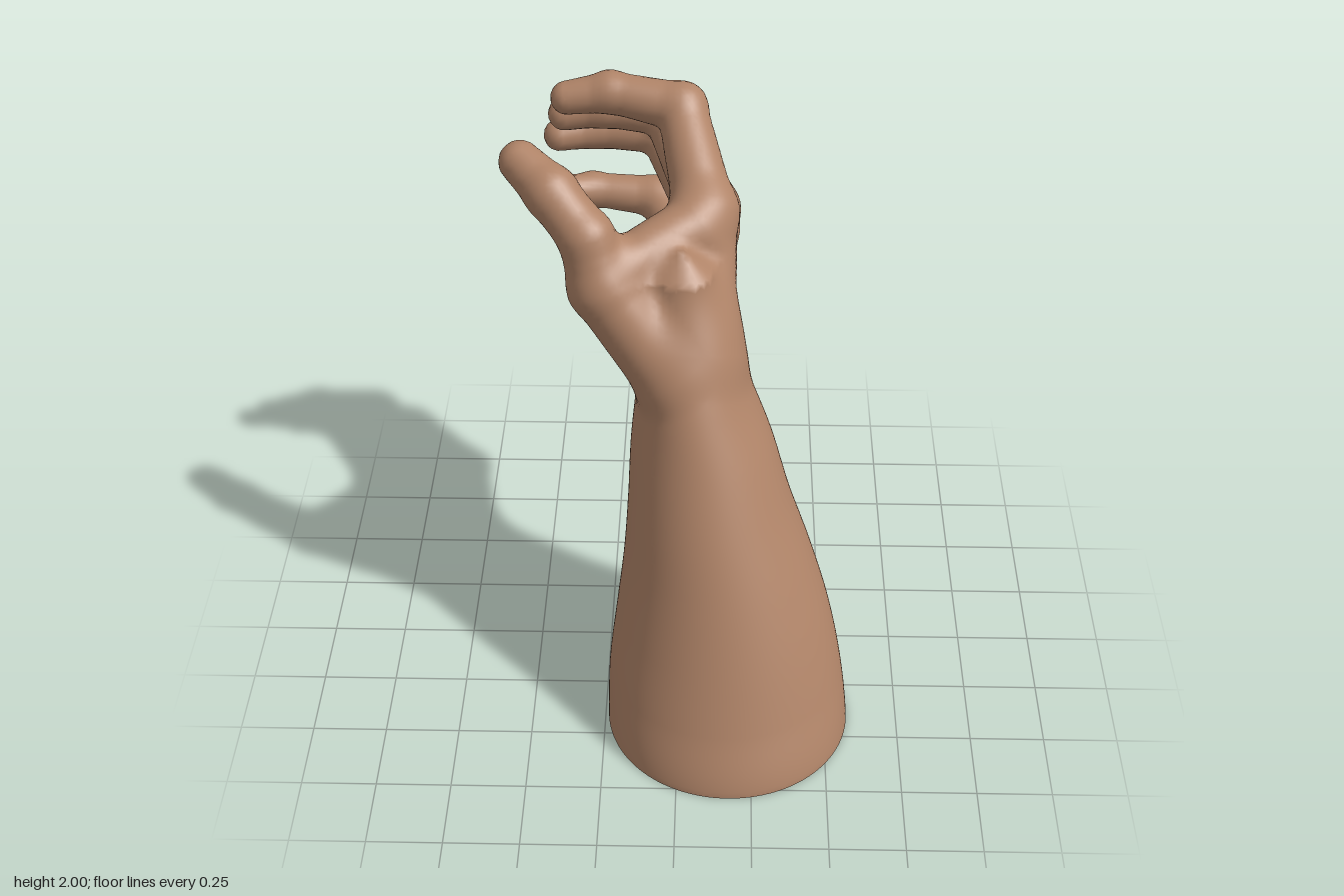
import * as THREE from 'three';

// Forearm widths every 0.2 in height: [xMin, xMax, zMin, zMax]
const ARM = [
  [-0.24, 0.58, -0.02, 0.79], [-0.235, 0.555, -0.055, 0.715], [-0.21, 0.51, -0.085, 0.64],
  [-0.185, 0.445, -0.105, 0.565], [-0.17, 0.37, -0.12, 0.49], [-0.16, 0.305, -0.15, 0.41],
  [-0.14, 0.225, -0.16, 0.33], [-0.13, 0.17, -0.1, 0.24], [-0.08, 0.1, 0, 0.16],
];

// Each part: blend = softness of its join, chains = joints as [x, y, z, radius]
const PARTS = [
  { name: 'palm', blend: 0.09, chains: [
    [[0.05, 1.3, 0.08, 0.13], [0.075, 1.68, -0.17, 0.1]],      // bones of the back of the hand
    [[0.05, 1.25, 0.0, 0.13], [0.085, 1.6, -0.32, 0.095]],
    [[0.04, 1.2, -0.06, 0.12], [0.09, 1.47, -0.42, 0.09]],
    [[0.02, 1.18, -0.12, 0.11], [0.06, 1.3, -0.46, 0.085]],
    [[-0.06, 1.2, -0.13, 0.13], [-0.09, 1.23, -0.33, 0.135]],  // heel
    [[-0.02, 1.55, -0.2, 0.09], [-0.03, 1.33, -0.37, 0.09]],   // pad below the fingers
    [[-0.15, 1.62, 0.04, 0.09], [0.03, 1.67, -0.09, 0.095]],   // web to the thumb
  ] },
  { name: 'thumb', blend: 0.06, chains: [
    [[-0.03, 1.28, 0.16, 0.12], [-0.24, 1.57, 0.1, 0.11], [-0.29, 1.73, 0.07, 0.085],
      [-0.4, 1.84, -0.01, 0.082], [-0.5, 1.895, -0.1, 0.068]],
  ] },
  { name: 'indexFinger', blend: 0.045, chains: [
    [[0.075, 1.68, -0.17, 0.1], [-0.005, 1.9, -0.45, 0.08], [-0.24, 1.93, -0.495, 0.066], [-0.38, 1.91, -0.49, 0.055]],
  ] },
  { name: 'middleFinger', blend: 0.045, chains: [
    [[0.085, 1.6, -0.32, 0.095], [-0.06, 1.8, -0.6, 0.079], [-0.27, 1.81, -0.615, 0.066], [-0.4, 1.79, -0.6, 0.055]],
  ] },
  { name: 'ringFinger', blend: 0.045, chains: [
    [[0.09, 1.47, -0.42, 0.09], [-0.08, 1.67, -0.705, 0.077], [-0.3, 1.67, -0.72, 0.065], [-0.425, 1.665, -0.68, 0.055]],
  ] },
  { name: 'littleFinger', blend: 0.045, chains: [
    [[0.06, 1.3, -0.46, 0.085], [-0.1, 1.415, -0.7, 0.07], [-0.32, 1.435, -0.71, 0.058], [-0.5, 1.475, -0.62, 0.048]],
  ] },
];

// Smooth minimum, melts two rounded forms together
function melt(a, b, k) {
  const h = Math.max(k - Math.abs(a - b), 0) / k;
  return Math.min(a, b) - h * h * k / 4;
}

// Distance to a tapered limb between two joints
function limb(x, y, z, a, b) {
  const dx = b[0] - a[0], dy = b[1] - a[1], dz = b[2] - a[2];
  const px = x - a[0], py = y - a[1], pz = z - a[2];
  const t = Math.min(1, Math.max(0, (px * dx + py * dy + pz * dz) / (dx * dx + dy * dy + dz * dz)));
  const qx = px - dx * t, qy = py - dy * t, qz = pz - dz * t;
  return Math.sqrt(qx * qx + qy * qy + qz * qz) - a[3] - (b[3] - a[3]) * t;
}

// Distance to the forearm, an oval whose widths run smoothly with height
function forearm(x, y, z) {
  const last = ARM.length - 1;
  const s = Math.min(last, Math.max(0, y / 0.2)), i = Math.min(last - 1, Math.floor(s)), t = s - i;
  const p0 = ARM[Math.max(0, i - 1)], p1 = ARM[i], p2 = ARM[i + 1], p3 = ARM[Math.min(last, i + 2)];
  const at = (c) => p1[c] + 0.5 * t * (p2[c] - p0[c] + t * (2 * p0[c] - 5 * p1[c] + 4 * p2[c] - p3[c]
    + t * (3 * (p1[c] - p2[c]) + p3[c] - p0[c])));
  const x0 = at(0), x1 = at(1), z0 = at(2), z1 = at(3);
  const rx = (x1 - x0) / 2, rz = (z1 - z0) / 2;
  const u = (x - (x0 + x1) / 2) / rx, v = (z - (z0 + z1) / 2) / rz;
  return (Math.sqrt(u * u + v * v) - 1) * Math.min(rx, rz) + Math.max(0, y - 1.6);
}

function partDistance(part, x, y, z) {
  let d = 9;
  for (const chain of part.chains) {
    const k = part.chains.length > 1 ? 0.06 : 0.025;
    for (let i = 0; i + 1 < chain.length; i++) d = melt(d, limb(x, y, z, chain[i], chain[i + 1]), k);
  }
  return d;
}

function field(x, y, z) {
  let d = forearm(x, y, z);
  if (y < 0.7) return d;
  for (const part of PARTS) d = melt(d, partDistance(part, x, y, z), part.blend);
  return d;
}

function gradient(x, y, z) {
  const e = 0.004;
  return new THREE.Vector3(
    field(x + e, y, z) - field(x - e, y, z),
    field(x, y + e, z) - field(x, y - e, z),
    field(x, y, z + e) - field(x, y, z - e)).divideScalar(2 * e);
}

// Index of the nearest part; 0 is the forearm
function nearestPart(x, y, z) {
  let best = 0, bestD = forearm(x, y, z);
  PARTS.forEach((part, i) => {
    const d = partDistance(part, x, y, z);
    if (d < bestD) { bestD = d; best = i + 1; }
  });
  return best;
}

// Skin over the melted forms: one vertex per crossed cell, one quad per crossed edge
function buildSkin() {
  const h = 0.02, n = [62, 104, 84], o = [-0.62, -h / 2, -0.84];
  const step = [1, n[0], n[0] * n[1]], total = n[0] * n[1] * n[2];
  const value = new Float32Array(total), vertexOf = new Int32Array(total).fill(-1);
  const eachPoint = (fn) => {
    for (let k = 0; k < n[2]; k++) for (let j = 0; j < n[1]; j++) for (let i = 0; i < n[0]; i++)
      fn([i, j, k], i + j * step[1] + k * step[2]);
  };
  eachPoint((c, id) => { value[id] = field(o[0] + c[0] * h, o[1] + c[1] * h, o[2] + c[2] * h); });

  const positions = [], normals = [], owner = [];
  eachPoint((c, id) => {
    if (c.some((v, a) => v >= n[a] - 1)) return;
    const sum = [0, 0, 0];
    let hits = 0;
    for (let q = 0; q < 8; q++) for (let a = 0; a < 3; a++) {
      if (q >> a & 1) continue;
      const off = [q & 1, q >> 1 & 1, q >> 2 & 1];
      const p = id + off[0] + off[1] * step[1] + off[2] * step[2];
      const v0 = value[p], v1 = value[p + step[a]];
      if ((v0 < 0) === (v1 < 0)) continue;
      off[a] = v0 / (v0 - v1);
      for (let m = 0; m < 3; m++) sum[m] += off[m];
      hits++;
    }
    if (!hits) return;
    const p = new THREE.Vector3(...sum.map((s, a) => o[a] + (c[a] + s / hits) * h));
    if (c[1] === 0) p.y = 0;
    const g = gradient(p.x, p.y, p.z);
    const shift = -field(p.x, p.y, p.z) / Math.max(0.3, g.lengthSq());
    p.addScaledVector(g, THREE.MathUtils.clamp(shift, -h / 2, h / 2));
    if (c[1] === 0) p.y = 0;
    g.copy(gradient(p.x, p.y, p.z)).normalize();
    vertexOf[id] = owner.length;
    positions.push(p.x, p.y, p.z);
    normals.push(g.x, g.y, g.z);
    owner.push(nearestPart(p.x, p.y, p.z));
  });

  const faces = [[], ...PARTS.map(() => [])];
  eachPoint((c, id) => {
    for (let a = 0; a < 3; a++) {
      const b = (a + 1) % 3, d = (a + 2) % 3;
      if (c[a] >= n[a] - 1 || !c[b] || !c[d]) continue;
      const inside = value[id] < 0;
      if (inside === (value[id + step[a]] < 0)) continue;
      const q = [id, id - step[b], id - step[b] - step[d], id - step[d]].map((v) => vertexOf[v]);
      if (q.includes(-1)) continue;
      if (!inside) q.reverse();
      faces[owner[q[0]]].push(q[0], q[1], q[2], q[0], q[2], q[3]);
    }
  });
  return {
    faces,
    position: new THREE.Float32BufferAttribute(positions, 3),
    normal: new THREE.Float32BufferAttribute(normals, 3),
  };
}

export function createModel() {
  const group = new THREE.Group();
  group.name = 'reachingHand';
  const skin = new THREE.MeshStandardMaterial({ color: 0xb08468 });
  skin.name = 'skin';

  // All parts share one set of vertices, so the joins stay smooth
  const { faces, position, normal } = buildSkin();
  ['forearm', ...PARTS.map((p) => p.name)].forEach((name, i) => {
    const geometry = new THREE.BufferGeometry();
    geometry.setAttribute('position', position);
    geometry.setAttribute('normal', normal);
    geometry.setIndex(faces[i]);
    const mesh = new THREE.Mesh(geometry, skin);
    mesh.name = name;
    group.add(mesh);
  });

  // Flat cut closing the forearm
  const [x0, x1, z0, z1] = ARM[0];
  const cut = new THREE.Mesh(new THREE.CircleGeometry(1, 96).rotateX(Math.PI / 2), skin);
  cut.scale.set((x1 - x0) / 2, 1, (z1 - z0) / 2);
  cut.position.set((x0 + x1) / 2, 0, (z0 + z1) / 2);
  cut.name = 'forearmCut';
  group.add(cut);
  return group;
}
